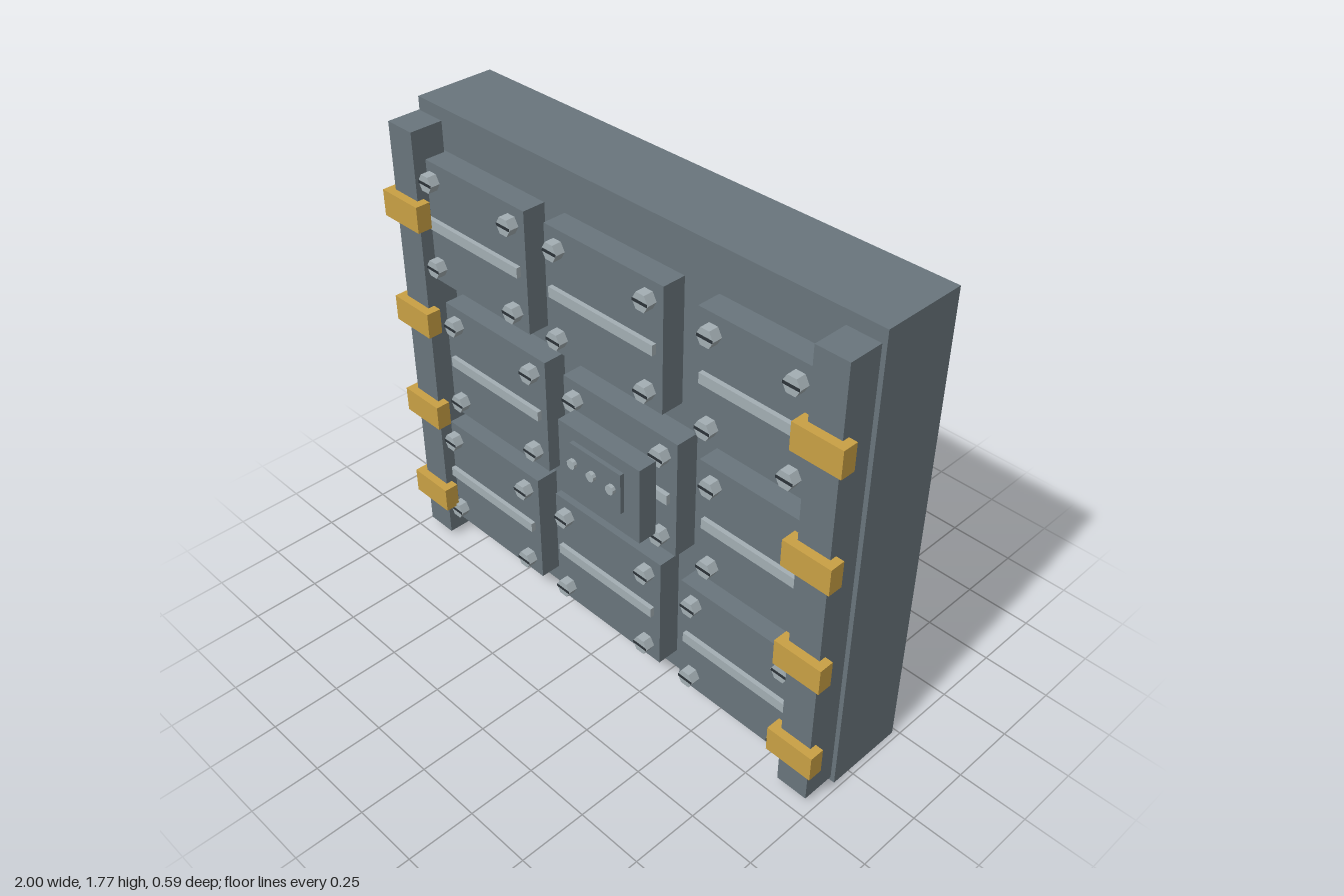
import * as THREE from 'three';

const paint = (name, color) => {
  const m = new THREE.MeshStandardMaterial({ color });
  m.name = name;
  return m;
};

export function createModel() {
  const iron = paint('dark iron', 0x69757c);
  const steel = paint('light steel', 0xa3aeb3);
  const brass = paint('brass', 0xc9a044);
  const shadow = paint('slot black', 0x2c3338);

  const model = new THREE.Group();
  model.name = 'armouredDoor';

  // Box given by its low and high limits on each axis
  const box = (parent, name, mat, [x0, x1], [y0, y1], [z0, z1]) => {
    const mesh = new THREE.Mesh(new THREE.BoxGeometry(x1 - x0, y1 - y0, z1 - z0), mat);
    mesh.position.set((x0 + x1) / 2, (y0 + y1) / 2, (z0 + z1) / 2);
    mesh.name = name;
    parent.add(mesh);
    return mesh;
  };

  // Cylinder facing the front
  const disc = (parent, name, mat, sides, r, x, y, z0, z1) => {
    const geo = new THREE.CylinderGeometry(r, r, z1 - z0, sides).toNonIndexed();
    geo.computeVertexNormals();
    geo.rotateX(Math.PI / 2);
    if (sides === 6) geo.rotateZ(Math.PI / 2);
    const mesh = new THREE.Mesh(geo, mat);
    mesh.position.set(x, y, (z0 + z1) / 2);
    mesh.name = name;
    parent.add(mesh);
  };

  // Slab and the lugs running through its foot
  box(model, 'slab', iron, [-0.98, 0.98], [0, 1.77], [-0.233, 0.073]);
  for (const x of [-0.775, 0, 0.772]) {
    box(model, 'footLug', iron, [x - 0.117, x + 0.117], [0.033, 0.197], [-0.297, 0.08]);
  }

  // Side rails with brass clamps
  for (const s of [-1, 1]) {
    box(model, 'rail', iron, [s * 0.91 - 0.06, s * 0.91 + 0.06], [0.028, 1.728], [0.082, 0.208]);
    for (const y of [0.218, 0.608, 1.01, 1.43]) {
      box(model, 'clamp', brass, [s * 0.909 - 0.091, s * 0.909 + 0.091], [y - 0.049, y + 0.049], [0.183, 0.239]);
    }
  }

  // Armour panel with a cross bar and four slotted bolts
  const addPanel = (x, y, width) => {
    const panel = new THREE.Group();
    panel.name = 'armourPanel';
    const w = width / 2;
    box(panel, 'plate', iron, [x - w, x + w], [y - 0.228, y + 0.228], [0.07, 0.16]);
    box(panel, 'bar', steel, [x - w * 0.89, x + w * 0.89], [y - 0.019, y + 0.019], [0.155, 0.177]);
    for (const bx of [x - w + 0.061, x + w - 0.061]) {
      for (const by of [y - 0.163, y + 0.163]) {
        disc(panel, 'bolt', steel, 6, 0.034, bx, by, 0.155, 0.196);
        box(panel, 'boltSlot', shadow, [bx - 0.031, bx + 0.031], [by - 0.005, by + 0.005], [0.191, 0.198]);
      }
    }
    model.add(panel);
  };
  const rows = [
    { y: 0.312, panels: [[-0.618, 0.52], [-0.003, 0.52], [0.613, 0.52]] },
    { y: 0.852, panels: [[-0.551, 0.522], [0.064, 0.522], [0.679, 0.522]] },
    { y: 1.388, panels: [[-0.618, 0.52], [-0.003, 0.52], [0.615, 0.442]] },
  ];
  for (const { y, panels } of rows) for (const [x, w] of panels) addPanel(x, y, w);

  // Lock case with face plate and pins
  const lock = new THREE.Group();
  lock.name = 'lock';
  box(lock, 'lockCase', iron, [-0.107, 0.267], [0.71, 1.005], [0.194, 0.267]);
  box(lock, 'lockPlate', iron, [-0.037, 0.198], [0.8, 0.957], [0.26, 0.283]);
  for (const x of [-0.02, 0.07, 0.16]) disc(lock, 'lockPin', steel, 10, 0.018, x, 0.883, 0.28, 0.297);
  model.add(lock);

  return model;
}
